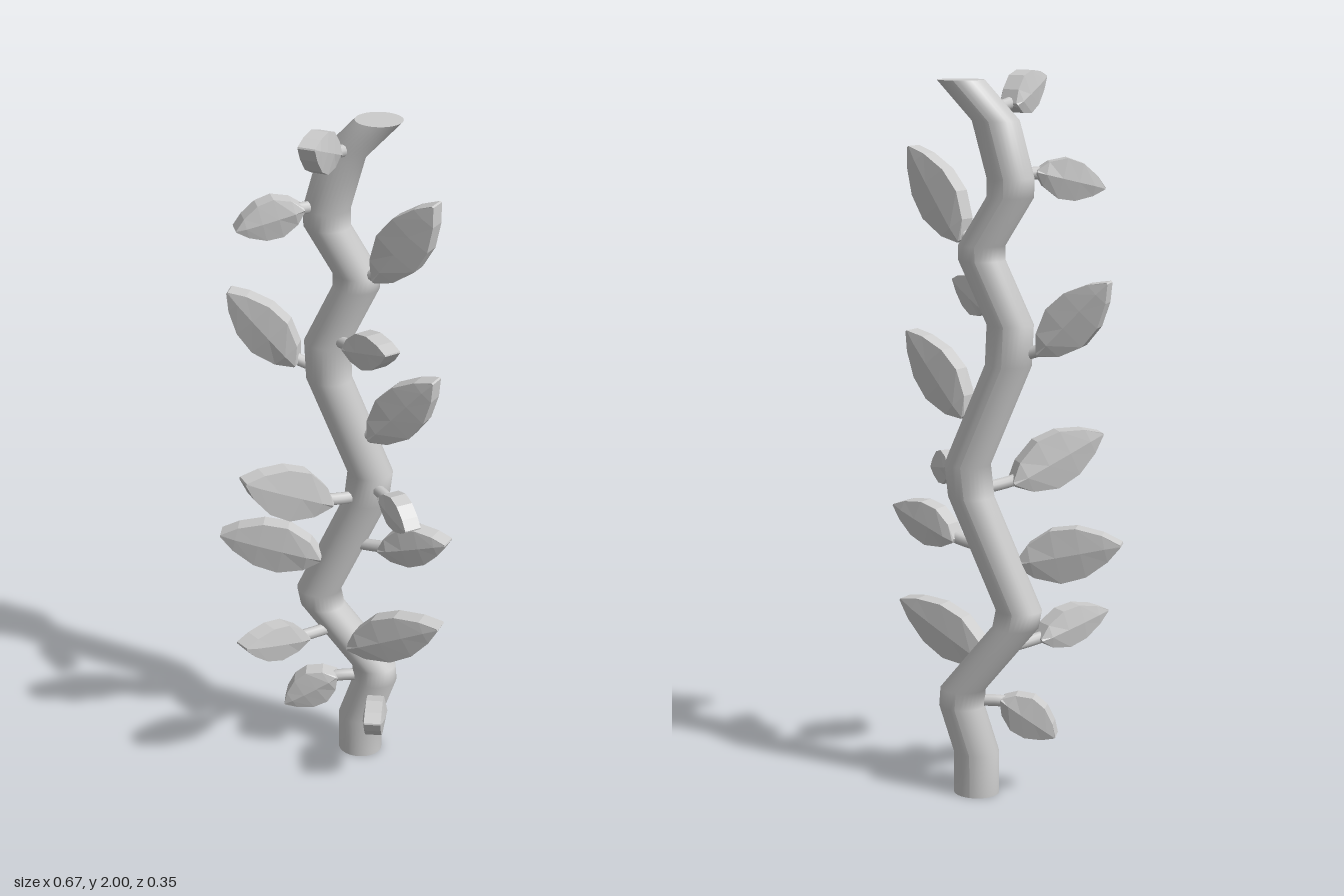
import * as THREE from 'three';

const material = new THREE.MeshStandardMaterial({ color: 0xcccccc });
const leafMaterial = new THREE.MeshStandardMaterial({ color: 0xcccccc, flatShading: true });

const STEM_Z = -0.119;
// stem centre line: [x, y]
const STEM = [
  [0.065, 0], [0.065, 0.12], [0.108, 0.25], [0.104, 0.3], [-0.05, 0.49], [-0.06, 0.54],
  [0.078, 0.85], [0.088, 0.94], [-0.03, 1.22], [-0.035, 1.33], [0.045, 1.5], [0.045, 1.54],
  [-0.035, 1.67], [-0.036, 1.72], [0.005, 1.87], [0.103, 1.975],
];

// leaves: [base, tip, width]
const LEAVES = [
  [[0.0, 1.905, -0.03], [-0.03, 1.975, 0.135], 0.11],
  [[-0.09, 1.735, -0.07], [-0.255, 1.69, 0.01], 0.11],
  [[0.11, 1.545, -0.08], [0.275, 1.79, -0.03], 0.14],
  [[-0.12, 1.255, -0.12], [-0.31, 1.455, -0.118], 0.14],
  [[0.045, 1.355, -0.04], [0.19, 1.415, 0.1], 0.1],
  [[0.1, 1.065, -0.085], [0.285, 1.285, -0.03], 0.14],
  [[-0.01, 0.875, -0.035], [-0.215, 1.0, 0.125], 0.15],
  [[0.15, 0.91, -0.04], [0.25, 0.88, 0.08], 0.095],
  [[0.13, 0.715, -0.085], [0.33, 0.79, -0.03], 0.115],
  [[-0.045, 0.665, -0.085], [-0.33, 0.73, -0.045], 0.15],
  [[0.04, 0.375, -0.085], [0.315, 0.515, -0.025], 0.14],
  [[-0.08, 0.43, -0.02], [-0.22, 0.485, 0.155], 0.11],
  [[0.0, 0.27, -0.085], [-0.15, 0.17, -0.06], 0.115],
  [[0.13, 0.195, -0.045], [0.15, 0.25, 0.12], 0.11],
];

// horizontal circles strung along the centre line
function makeStem() {
  const geo = new THREE.CylinderGeometry(1, 1, 1, 32, STEM.length - 1).rotateY(Math.PI);
  const p = geo.attributes.position;
  for (let i = 0; i < p.count; i++) {
    const [x, y] = STEM[Math.round((p.getY(i) + 0.5) * (STEM.length - 1))];
    p.setXYZ(i, x + p.getX(i) * 0.064, y, STEM_Z + p.getZ(i) * 0.059);
  }
  geo.computeVertexNormals();
  const mesh = new THREE.Mesh(geo, material);
  mesh.name = 'stem';
  return mesh;
}

function stemX(y) {
  const i = Math.max(1, STEM.findIndex((s) => s[1] >= y));
  const [a, b] = [STEM[i - 1], STEM[i]];
  return a[0] + (b[0] - a[0]) * (y - a[1]) / (b[1] - a[1]);
}

// thick blade lofted from six-sided sections with a raised midrib on both faces
function makeBlade(base, tip, width) {
  const u = tip.clone().sub(base);
  const length = u.length();
  u.normalize();
  const w = new THREE.Vector3(-u.z, 0, u.x).normalize();
  const v = w.clone().cross(u);
  const edge = 0.024;
  // [position along leaf, half width, extra rib height]
  const stations = [[0, 0.1, 0.004], [0.14, 0.62, 0.009], [0.38, 1, 0.009],
    [0.62, 0.92, 0.008], [0.85, 0.5, 0.005], [1, 0.04, 0]];
  const positions = [], index = [];
  for (const [t, half, rib] of stations) {
    const h = half * width / 2, r = edge + rib;
    for (const [a, b] of [[h, edge], [0, r], [-h, edge], [-h, -edge], [0, -r], [h, -edge]]) {
      const q = base.clone().addScaledVector(u, t * length).addScaledVector(v, a).addScaledVector(w, b);
      positions.push(q.x, q.y, q.z);
    }
  }
  for (let i = 0; i < stations.length - 1; i++) {
    for (let j = 0; j < 6; j++) {
      const a = i * 6 + j, b = i * 6 + (j + 1) % 6;
      index.push(a, b, b + 6, a, b + 6, a + 6);
    }
  }
  const last = (stations.length - 1) * 6;
  for (let j = 1; j < 5; j++) {
    index.push(0, j + 1, j, last, last + j, last + j + 1);
  }
  const geo = new THREE.BufferGeometry();
  geo.setAttribute('position', new THREE.Float32BufferAttribute(positions, 3));
  geo.setIndex(index);
  geo.computeVertexNormals();
  const mesh = new THREE.Mesh(geo, leafMaterial);
  mesh.name = 'blade';
  return mesh;
}

// short stalk from inside the stem to just inside the blade
function makeStalk(base, tip) {
  const start = new THREE.Vector3(stemX(base.y), base.y - 0.01, STEM_Z);
  const end = base.clone().lerp(tip, 0.15);
  const curve = new THREE.QuadraticBezierCurve3(start, base, end);
  const mesh = new THREE.Mesh(new THREE.TubeGeometry(curve, 6, 0.017, 10), material);
  mesh.name = 'stalk';
  return mesh;
}

export function createModel() {
  const model = new THREE.Group();
  model.name = 'climbingVine';
  model.add(makeStem());
  for (const [b, t, width] of LEAVES) {
    const base = new THREE.Vector3(...b), tip = new THREE.Vector3(...t);
    const leaf = new THREE.Group();
    leaf.name = 'leaf';
    leaf.add(makeBlade(base, tip, width), makeStalk(base, tip));
    model.add(leaf);
  }
  return model;
}
